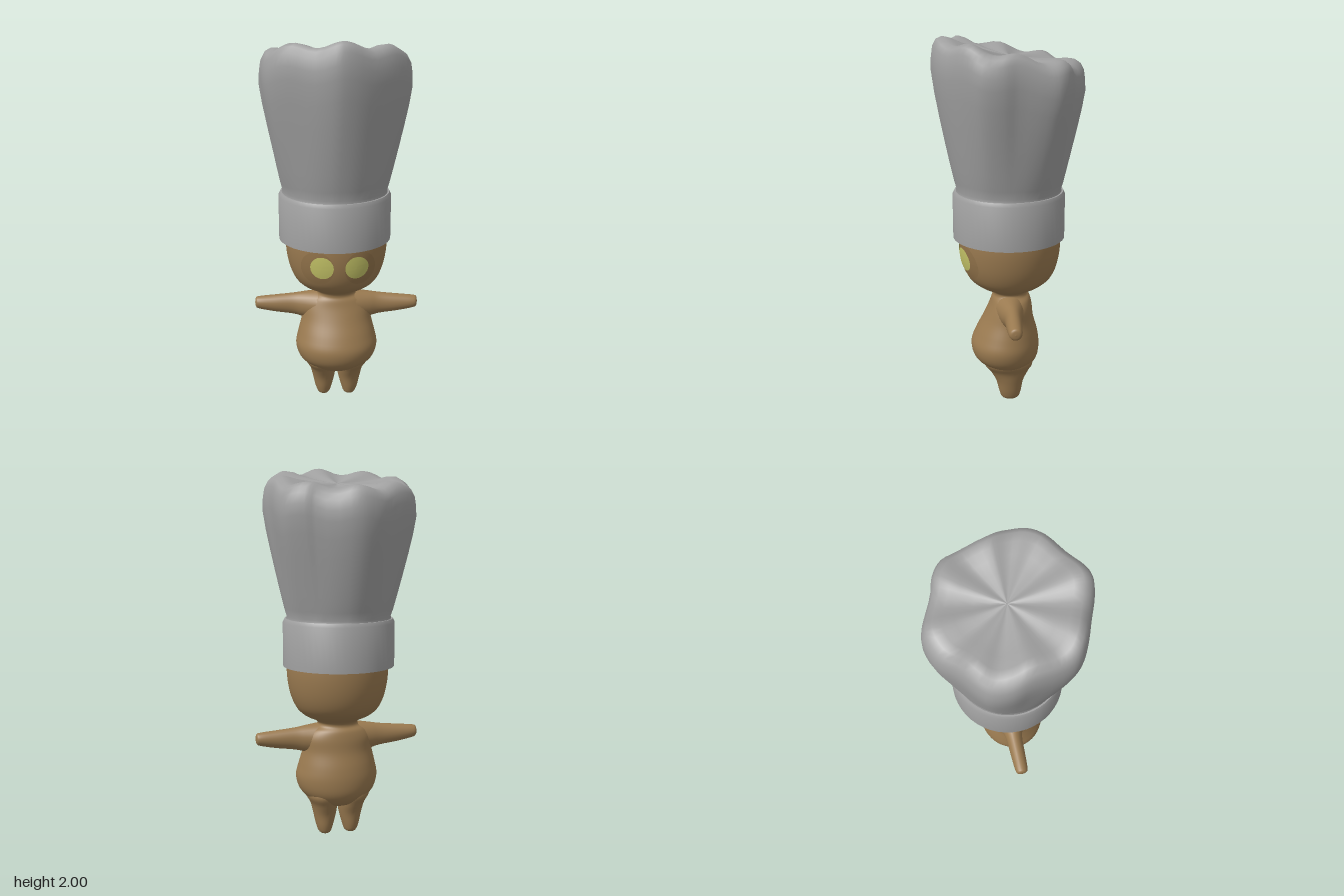
import * as THREE from 'three';
import { toCreasedNormals } from 'three/addons/utils/BufferGeometryUtils.js';

const mat = (name, color, side = THREE.FrontSide) =>
  Object.assign(new THREE.MeshStandardMaterial({ color, side }), { name });

// Skin a grid of rows (each a closed loop of [x, y, z]) that climbs upward
function skin(rows) {
  const n = rows[0].length, index = [];
  for (let j = 0; j < rows.length - 1; j++) {
    for (let i = 0; i < n; i++) {
      const a = j * n + i, b = j * n + (i + 1) % n;
      index.push(a, b, b + n, a, b + n, a + n);
    }
  }
  const g = new THREE.BufferGeometry();
  g.setAttribute('position', new THREE.Float32BufferAttribute(rows.flat(2), 3));
  g.setIndex(index);
  g.computeVertexNormals();
  return g;
}

// Smooth a list of [y, cx, cz, rx, rz] sections
function smooth(sections, steps) {
  const curve = (f) => new THREE.CatmullRomCurve3(sections.map(f), false, 'catmullrom', 0.5);
  const centres = curve(s => new THREE.Vector3(s[0], s[1], s[2]));
  const radii = curve(s => new THREE.Vector3(s[3], s[4], 0));
  return Array.from({ length: steps + 1 }, (_, k) => {
    const c = centres.getPoint(k / steps), r = radii.getPoint(k / steps);
    return [c.x, c.y, c.z, Math.max(r.x, 0.0005), Math.max(r.y, 0.0005)];
  });
}

const loft = (sections, n = 32) => skin(sections.map(([y, cx, cz, rx, rz]) =>
  Array.from({ length: n }, (_, i) => {
    const a = i / n * Math.PI * 2;
    return [cx + rx * Math.sin(a), y, cz + rz * Math.cos(a)];
  })));

export function createModel() {
  const model = new THREE.Group();
  const brown = mat('brown skin', 0x9a7a50);
  const patchBrown = mat('eye patch brown', 0x93744b, THREE.DoubleSide);
  const yellow = mat('yellow eye', 0xc6c568, THREE.DoubleSide);
  const cloth = mat('hat grey', 0xa0a0a0, THREE.DoubleSide);
  const add = (name, geometry, material) => {
    const m = new THREE.Mesh(geometry, material);
    m.name = name;
    model.add(m);
  };

  // Torso, neck and head as one smooth form
  const body = smooth([
    [0.165, 0, 0, 0, 0],
    [0.175, 0, 0.002, 0.08, 0.08],
    [0.21, 0, 0.008, 0.155, 0.138],
    [0.26, 0, 0.018, 0.205, 0.178],
    [0.33, 0, 0.022, 0.225, 0.188],
    [0.40, 0, 0.014, 0.212, 0.17],
    [0.48, 0, 0.004, 0.192, 0.138],
    [0.55, 0, -0.008, 0.185, 0.118],
    [0.595, 0, -0.01, 0.155, 0.105],
    [0.62, 0, -0.006, 0.115, 0.092],
    [0.645, 0, -0.004, 0.118, 0.105],
    [0.68, 0, -0.004, 0.185, 0.175],
    [0.73, 0, -0.005, 0.23, 0.23],
    [0.82, 0, -0.006, 0.262, 0.262],
    [0.94, 0, -0.006, 0.274, 0.272],
    [1.06, 0, -0.005, 0.255, 0.255],
    [1.15, 0, 0, 0.18, 0.18],
    [1.19, 0, 0, 0, 0],
  ], 80);
  add('bodyAndHead', loft(body, 48), brown);

  // Height fields on the head front, used to lay the eyes on it
  const headZ = (x, y) => {
    const k = body.findIndex(s => s[0] > y), a = body[k - 1], b = body[k];
    const t = (y - a[0]) / (b[0] - a[0]);
    const [, , cz, rx, rz] = a.map((v, i) => v + (b[i] - v) * t);
    return cz + rz * Math.sqrt(Math.max(0, 1 - (x / rx) ** 2));
  };
  function faceDisc(cx, cy, rx, ry, lift) {
    const g = new THREE.RingGeometry(0.001, 1, 32, 5);
    const p = g.attributes.position;
    for (let i = 0; i < p.count; i++) {
      const x = cx + p.getX(i) * rx, y = cy + p.getY(i) * ry;
      p.setXYZ(i, x * (1 + lift * 2), y, headZ(x, y) + lift);
    }
    g.computeVertexNormals();
    return g;
  }

  for (const [s, side] of [[1, 'left'], [-1, 'right']]) {
    // Eyes
    add(side + 'EyePatch', faceDisc(s > 0 ? 0.118 : -0.102, 0.842, s > 0 ? 0.08 : 0.086, 0.095, 0.004), patchBrown);
    add(side + 'Eye', faceDisc(s > 0 ? 0.1 : -0.078, 0.85, 0.06, 0.062, 0.008), yellow);

    // Arm, lofted upward and then laid on its side
    const arm = loft(smooth([
      [0.10, 0.545, 0, 0.085, 0.085],
      [0.18, 0.547, -0.005, 0.072, 0.06],
      [0.24, 0.55, -0.008, 0.06, 0.046],
      [0.34, 0.552, -0.008, 0.048, 0.041],
      [0.42, 0.556, -0.008, 0.036, 0.036],
      [0.444, 0.558, -0.008, 0.027, 0.026],
      [0.45, 0.558, -0.008, 0, 0],
    ].map(([y, h, cz, rx, rz]) => [y, -s * h, cz, rx, rz]), 28), 24);
    arm.rotateZ(-s * Math.PI / 2);
    add(side + 'Arm', arm, brown);

    // Leg
    add(side + 'Leg', loft(smooth([
      [0.005, 0.072, -0.002, 0, 0],
      [0.012, 0.072, -0.002, 0.03, 0.042],
      [0.05, 0.073, -0.002, 0.046, 0.06],
      [0.12, 0.072, 0, 0.063, 0.076],
      [0.18, 0.076, 0.002, 0.074, 0.105],
      [0.24, 0.09, 0.008, 0.088, 0.135],
      [0.32, 0.09, 0.01, 0.07, 0.1],
    ].map(([y, cx, ...r]) => [y, s * cx, ...r]), 28), 24), brown);
  }

  // Hat band
  const band = new THREE.LatheGeometry([
    [0.285, 1.19], [0.288, 0.945], [0.3, 0.945], [0.3, 1.18], [0.29, 1.2], [0.26, 1.2],
  ].map(p => new THREE.Vector2(...p)), 48);
  band.translate(-0.008, 0, 0);
  add('hatBand', toCreasedNormals(band, 0.5), cloth);

  // Puffed hat crown: a circle growing into a lumpy outline, then closing over the top
  const outline = new THREE.CatmullRomCurve3([
    [0.03, 0.395], [0.12, 0.365], [0.23, 0.29], [0.32, 0.215], [0.37, 0.15], [0.38, 0.05],
    [0.36, -0.03], [0.345, -0.17], [0.32, -0.245], [0.235, -0.305], [0.18, -0.32], [0.02, -0.39],
    [-0.06, -0.4], [-0.155, -0.365], [-0.235, -0.285], [-0.34, -0.21], [-0.385, -0.155], [-0.4, -0.06],
    [-0.385, 0.03], [-0.365, 0.17], [-0.335, 0.245], [-0.27, 0.295], [-0.15, 0.345], [-0.03, 0.39],
  ].map(([x, z]) => new THREE.Vector3(x, 0, z)), true).getPoints(72).slice(0, 72);
  // [height fraction, blend to outline, scale]
  const profile = [
    [0, 0, 0.99], [0.03, 0, 0.97], [0.09, 0.08, 0.985], [0.2, 0.22, 1], [0.35, 0.45, 1],
    [0.5, 0.67, 1], [0.65, 0.87, 1], [0.78, 1, 1], [0.86, 1, 0.995], [0.93, 1, 0.975],
    [0.975, 1, 0.93], [1, 1, 0.85], [1, 1, 0.74], [0.985, 1, 0.6], [0.975, 1, 0.4],
    [0.97, 1, 0.2], [0.97, 1, 0.001],
  ];
  add('hatCrown', skin(profile.map(([f, b, s]) => outline.map(p => {
    const a = Math.atan2(p.x, p.z);
    const x = THREE.MathUtils.lerp(Math.sin(a) * 0.287 - 0.008, p.x, b) * s;
    const z = THREE.MathUtils.lerp(Math.cos(a) * 0.287, p.z, b) * s;
    const top = 1.927 + 0.18 * z + 0.018 * s * Math.cos(8 * (a - 0.1));
    return [x, 1.19 + (top - 1.19) * f, z];
  }))), cloth);

  return model;
}
